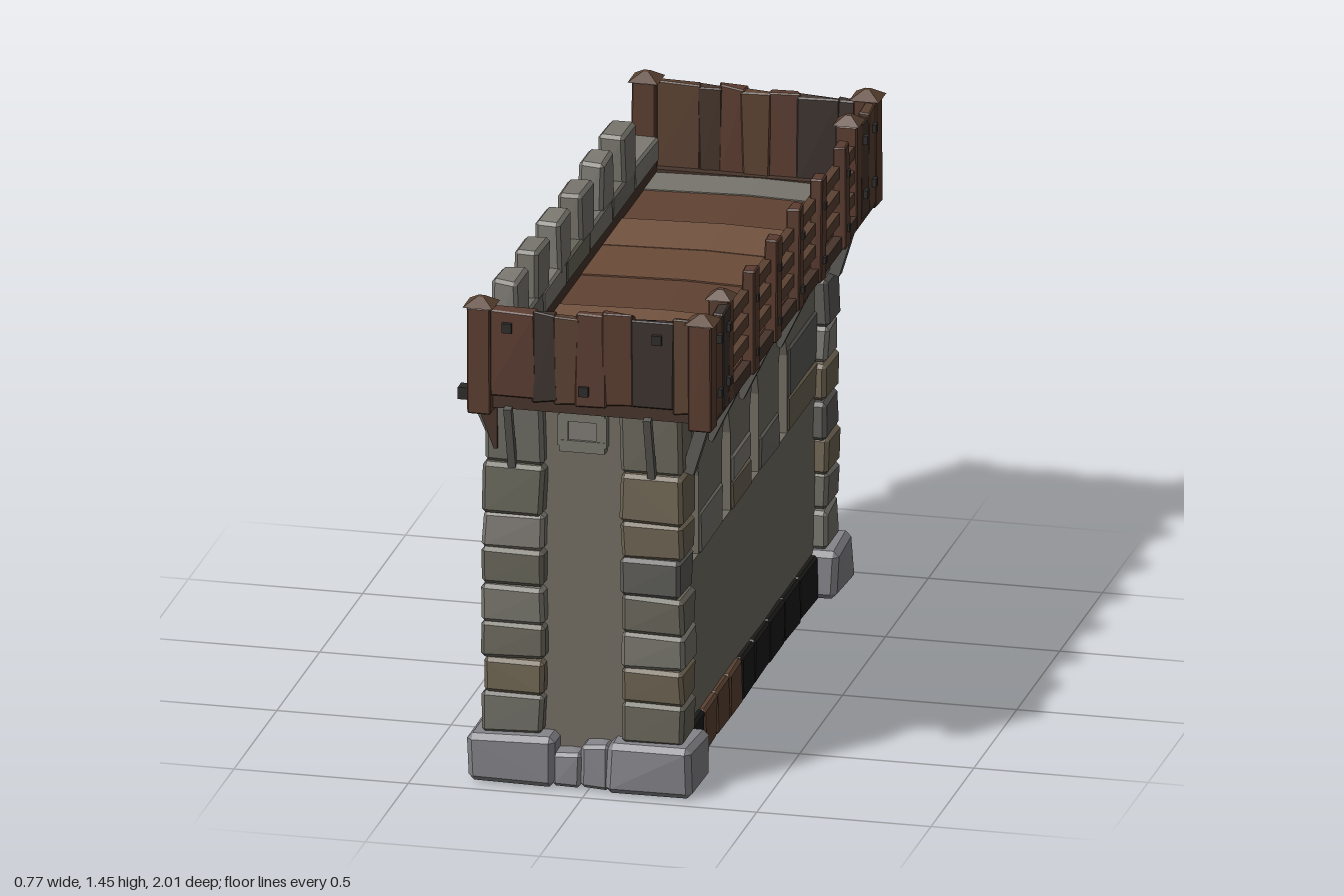
import * as THREE from 'three';
import { ConvexGeometry } from 'three/addons/geometries/ConvexGeometry.js';

const mat = (color) => new THREE.MeshStandardMaterial({ color, flatShading: true });
const STONES = [0x77756c, 0x6c6a62, 0x7e7b74, 0x68665a, 0x6f6553, 0x5c5b57].map(mat);
const WALL = mat(0x716d63), PALE = mat(0x85858a), DARK = mat(0x2e2b2a), BLACK = mat(0x1c1b1a);
const WOODS = [0x5a3c30, 0x46352c, 0x5b4232, 0x3d332f].map(mat);
const FLOORS = [0x6b4b38, 0x604232, 0x735340].map(mat);

let seed = 7;
const rnd = () => (seed = (seed * 16807) % 2147483647) / 2147483647;
const jit = (a) => (rnd() - 0.5) * 2 * a;
const pick = (list) => list[Math.floor(rnd() * list.length)];

function add(parent, name, geometry, material) {
  const mesh = new THREE.Mesh(geometry, material);
  mesh.name = name;
  parent.add(mesh);
  return mesh;
}

// Plain box between two limits on each axis
function box(parent, name, [x0, x1], [y0, y1], [z0, z1], material) {
  const mesh = add(parent, name, new THREE.BoxGeometry(x1 - x0, y1 - y0, z1 - z0), material);
  mesh.position.set((x0 + x1) / 2, (y0 + y1) / 2, (z0 + z1) / 2);
  return mesh;
}

// Hewn block: chamfered box with slightly uneven corners
function block(parent, name, xs, ys, zs, material, c = 0.014, j = 0.006) {
  const pts = [];
  for (const i of [0, 1]) for (const k of [0, 1]) for (const l of [0, 1]) {
    const s = [i, k, l].map((v) => (v ? -1 : 1));
    const ox = jit(j), oy = jit(j), oz = jit(j);
    for (let axis = 0; axis < 3; axis++) {
      const d = [0, 1, 2].map((a) => (a === axis ? 0 : c * s[a]));
      pts.push(new THREE.Vector3(xs[i] + d[0] + ox, ys[k] + d[1] + oy, zs[l] + d[2] + oz));
    }
  }
  return add(parent, name, new ConvexGeometry(pts), material);
}

// Square timber from a to b
function timber(parent, name, a, b, w, material) {
  const p = new THREE.Vector3(...a), q = new THREE.Vector3(...b);
  const mesh = add(parent, name, new THREE.BoxGeometry(w, w, p.distanceTo(q)), material);
  mesh.position.copy(p).add(q).multiplyScalar(0.5);
  mesh.lookAt(q);
  return mesh;
}

// One long wall face with pointed niches and sill stones
function wallFace(plinthColor) {
  const g = new THREE.Group();
  g.name = 'wallFace';
  const shape = new THREE.Shape();
  shape.moveTo(-0.8, 0.12).lineTo(0.8, 0.12).lineTo(0.8, 1.14).lineTo(-0.8, 1.14);
  for (const u of [-0.62, -0.25, 0.08, 0.41]) {
    const hole = new THREE.Path();
    hole.moveTo(u - 0.05, 0.6).lineTo(u - 0.05, 0.83).lineTo(u - 0.022, 0.91);
    hole.lineTo(u + 0.022, 0.91).lineTo(u + 0.05, 0.83).lineTo(u + 0.05, 0.6);
    shape.holes.push(hole);
  }
  const geo = new THREE.ExtrudeGeometry(shape, { depth: 0.06, bevelEnabled: false });
  add(g, 'nichedWall', geo.rotateY(Math.PI / 2).translate(0.19, 0, 0), WALL);
  const sills = [[-0.565, -0.305, 0.6, 0.72], [-0.195, 0.025, 0.6, 0.68], [-0.195, 0.025, 0.68, 0.76],
    [0.135, 0.355, 0.6, 0.7], [0.465, 0.79, 0.6, 0.7], [0.465, 0.79, 0.7, 0.85]];
  for (const [a, b, y0, y1] of sills) block(g, 'sillStone', [0.2, 0.256], [y0, y1], [-b, -a], pick(STONES), 0.006, 0.002);
  // Plinth course
  const cuts = [-0.75, -0.55, -0.37, -0.2, -0.02, 0.13, 0.28, 0.42, 0.57, 0.76];
  for (let i = 0; i < cuts.length - 1; i++) {
    block(g, 'plinthStone', [0.16, 0.268], [0.008, 0.14], [cuts[i], cuts[i + 1]], plinthColor(i), 0.008, 0.003);
  }
  return g;
}

// Post with a wide, low pyramid cap
function cappedPost(parent, x, z, y0, w) {
  block(parent, 'cornerPost', [x - w / 2, x + w / 2], [y0, 1.425], [z - w / 2, z + w / 2], WOODS[0], 0.004, 0.002);
  const cap = add(parent, 'postCap', new THREE.CylinderGeometry(0.012, w * 0.9, 0.024, 4).rotateY(Math.PI / 4), WOODS[2]);
  cap.position.set(x, 1.438, z);
}

export function createModel() {
  const model = new THREE.Group();
  model.name = 'fortifiedWall';

  // Stone body, symmetrical by a half turn
  const body = new THREE.Group();
  body.name = 'stoneBody';
  body.position.set(-0.02, 0, 0.01);
  model.add(body);
  box(body, 'core', [-0.195, 0.195], [0.1, 1.14], [-0.875, 0.875], WALL);
  const right = wallFace((i) => (i > 4 && i < 8 ? pick(WOODS) : BLACK));
  const left = wallFace(() => pick(STONES));
  left.rotation.y = Math.PI;
  body.add(right, left);

  // Corner piers of stacked quoins on large footing stones
  const courses = [0.15, 0.265, 0.37, 0.475, 0.585, 0.695, 0.8, 0.945, 1.14];
  for (const sx of [-1, 1]) for (const sz of [-1, 1]) {
    const span = (a, b, s) => (s > 0 ? [a, b] : [-b, -a]);
    const pier = new THREE.Group();
    pier.name = 'cornerPier';
    body.add(pier);
    for (let i = 0; i < courses.length - 1; i++) {
      const inset = i > 6 ? 0.008 : 0;
      block(pier, 'quoin', span(0.112 + jit(0.006), 0.288 - inset + jit(0.004), sx), [courses[i], courses[i + 1]],
        span(0.775 + jit(0.012), 0.92 - inset + jit(0.005), sz), pick(STONES), 0.011, 0.004);
    }
    block(pier, 'footing', span(0.075, 0.322, sx), [0.006, 0.152], span(0.745, 0.95, sz), PALE, 0.016, 0.005);
    block(pier, 'thresholdStone', span(0, 0.08, sx), [0.01, sx > 0 ? 0.14 : 0.11], span(0.8, 0.935, sz), PALE, 0.01, 0.003);
  }

  // Framed tablet on each end
  for (const s of [-1, 1]) {
    const z = 0.01 + s * 0.89;
    box(model, 'tabletPanel', [-0.08, 0.035], [1.01, 1.1], [z - 0.008, z + 0.008], STONES[2]);
    for (const y of [1.01, 1.1]) timber(model, 'tabletFrame', [-0.088, y, z], [0.043, y, z], 0.034, STONES[0]);
    for (const x of [-0.078, 0.033]) timber(model, 'tabletFrame', [x, 1.01, z], [x, 1.1, z], 0.03, STONES[0]);
  }

  // Deck planks on a closed underside, raised along the middle
  box(model, 'deckUnderside', [-0.27, 0.34], [1.12, 1.145], [-0.95, 0.95], WOODS[3]);
  const cuts = [-0.95, -0.78, -0.53, -0.3, -0.05, 0.2, 0.45, 0.73, 0.95];
  for (let i = 0; i < cuts.length - 1; i++) {
    const geo = new THREE.BoxGeometry(0.61, 0.03, cuts[i + 1] - cuts[i] - 0.004, 2, 1, 1);
    const p = geo.attributes.position;
    for (let k = 0; k < p.count; k++) if (Math.abs(p.getX(k)) < 0.01) p.setY(k, p.getY(k) + 0.008);
    const plank = add(model, 'deckPlank', geo, i === 0 ? STONES[0] : FLOORS[i % 3]);
    plank.position.set(0.035, 1.15 + jit(0.003), (cuts[i] + cuts[i + 1]) / 2);
  }
  box(model, 'deckEdgeBeam', [0.335, 0.365], [1.12, 1.16], [-0.95, 0.95], WOODS[1]);

  // Left parapet, corbelled out from the wall, with stone coping and merlons
  const section = new THREE.Shape([[-0.325, 1.13], [-0.272, 0.99], [-0.262, 0.99], [-0.262, 1.21], [-0.325, 1.21]]
    .map(([x, y]) => new THREE.Vector2(x, y)));
  add(model, 'parapet', new THREE.ExtrudeGeometry(section, { depth: 1.86, bevelEnabled: false }).translate(0, 0, -0.93), WOODS[1]);
  for (let i = 0; i < 7; i++) {
    const z = 0.93 - i * 0.266;
    block(model, 'copingStone', [-0.332, -0.258], [1.2, 1.27], [z - 0.266, z], STONES[i % 4], 0.007, 0.003);
  }
  for (let i = 0; i < 6; i++) {
    const z = 0.64 - i * 0.25;
    block(model, 'merlon', [-0.332, -0.258], [1.25, 1.405], [z - 0.068, z + 0.068], STONES[i % 2 ? 0 : 2], 0.01, 0.004);
  }

  // Timber hoardings at both ends
  const edges = [-0.275, -0.145, -0.085, -0.02, 0.055, 0.135, 0.255, 0.31];
  for (const s of [-1, 1]) {
    const hood = new THREE.Group();
    hood.name = 'endHoarding';
    model.add(hood);
    const zr = (a, b) => (s > 0 ? [a, b] : [-b, -a]);
    for (let i = 0; i < edges.length - 1; i++) {
      const o = jit(0.004);
      block(hood, 'hoardingPlank', [edges[i] - 0.004, edges[i + 1] + 0.004], [1.16 + jit(0.008), 1.422 + jit(0.012)],
        zr(0.95 + o, 0.982 + o), pick(WOODS), 0.004, 0.005);
    }
    box(hood, 'bottomBeam', [-0.3, 0.34], [1.125, 1.175], zr(0.925, 0.968), WOODS[1]);
    cappedPost(hood, -0.3, s * 0.962, 1.11, 0.068);
    cappedPost(hood, 0.335, s * 0.962, 1.11, 0.068);
    cappedPost(hood, 0.335, s * 0.745, 1.12, 0.06);
    for (let i = 0; i < 2; i++) {
      const z = 0.77 + i * 0.08;
      block(hood, 'sidePlank', [0.335, 0.365], [1.13 + jit(0.01), 1.415 + jit(0.01)], zr(z - 0.003, z + 0.083), pick(WOODS), 0.004, 0.004);
    }
    for (const [x, y] of [[-0.22, 1.37], [0.21, 1.37], [0, 1.2]]) {
      box(hood, 'bolt', [x - 0.014, x + 0.014], [y - 0.014, y + 0.014], zr(0.97, 0.994), DARK);
    }
    for (const z of [0.8, 0.9]) for (const y of [1.2, 1.36]) {
      box(hood, 'sideBolt', [0.36, 0.378], [y - 0.012, y + 0.012], zr(z - 0.012, z + 0.012), DARK);
    }
    // Weathered braces under the overhang
    for (const x of [-0.22, 0.18]) timber(hood, 'endBrace', [x, 0.94, s * 0.92], [x, 1.13, s * 0.975], 0.022, STONES[5]);
    timber(hood, 'cornerBrace', [0.268, 0.94, s * 0.85], [0.325, 1.13, s * 0.85], 0.036, STONES[5]);
    timber(hood, 'cornerBrace', [-0.3, 1.02, s * 0.85], [-0.345, 1.12, s * 0.85], 0.026, STONES[5]);
  }

  // Open railing along the right edge
  for (const z of [0.49, 0.23, -0.04, -0.295, -0.57]) {
    block(model, 'railPost', [0.338, 0.375], [1.12, 1.425], [z - 0.028, z + 0.028], WOODS[0], 0.004, 0.003);
    for (const y of [1.18, 1.34]) box(model, 'railBolt', [0.37, 0.382], [y - 0.01, y + 0.01], [z - 0.01, z + 0.01], DARK);
  }
  for (const y of [1.215, 1.28, 1.35]) {
    const rail = box(model, 'rail', [0.334, 0.358], [y - 0.018, y + 0.018], [-0.745, 0.745], WOODS[2]);
    rail.rotation.x = jit(0.005);
  }

  // Struts below the right edge and beam ends on the left
  for (const z of [0.45, 0.09, -0.35]) timber(model, 'deckStrut', [0.225, 0.9, z], [0.335, 1.13, z], 0.036, STONES[5]);
  for (const z of [0.85, 0.45, -0.35, -0.79]) box(model, 'beamEnd', [-0.39, -0.28], [1.105, 1.14], [z - 0.02, z + 0.02], DARK);

  return model;
}
